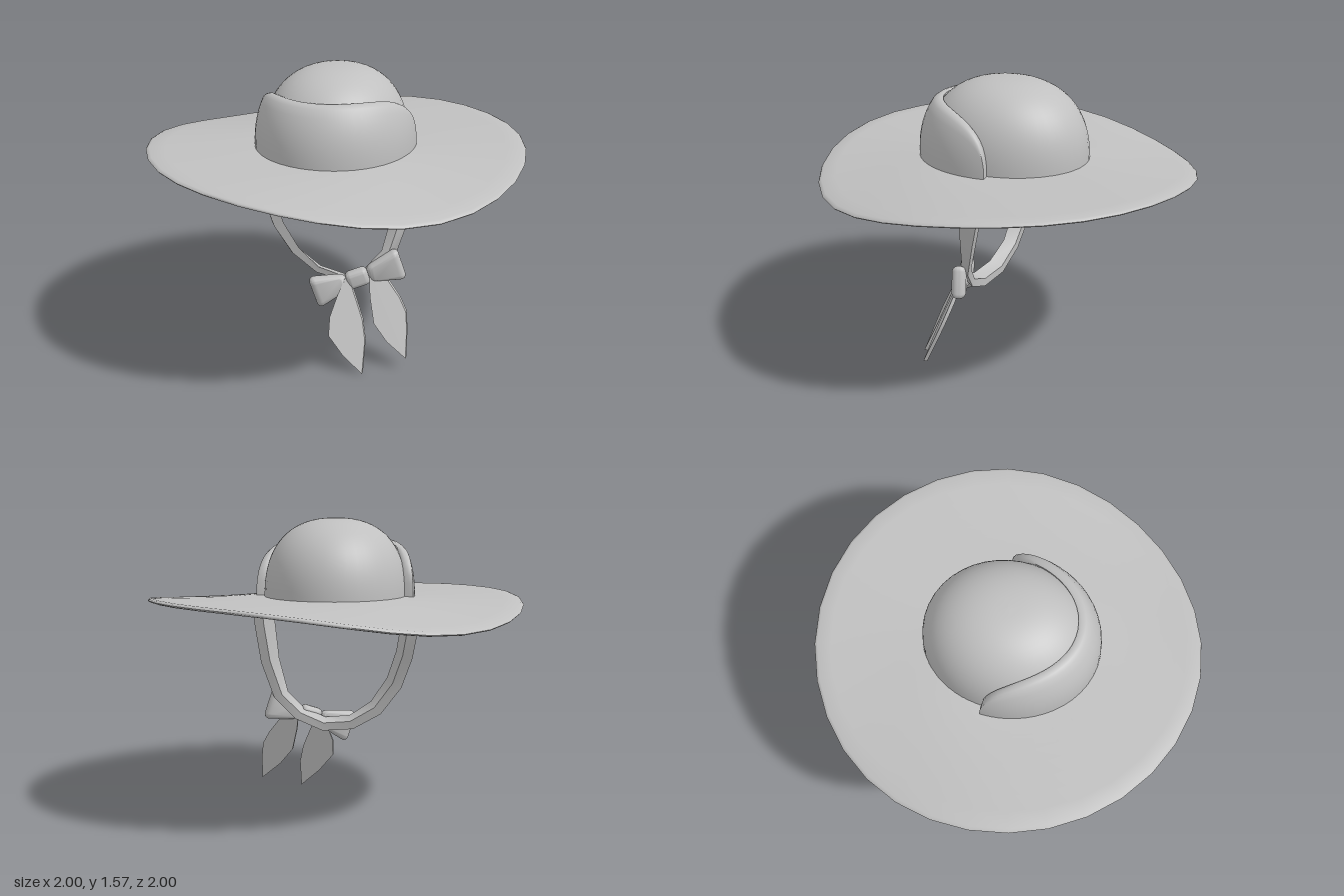
import * as THREE from 'three';
import { mergeVertices, toCreasedNormals } from 'three/addons/utils/BufferGeometryUtils.js';
import { RoundedBoxGeometry } from 'three/addons/geometries/RoundedBoxGeometry.js';

const BASE = 1.15; // height where crown meets brim
const grey = new THREE.MeshStandardMaterial({ color: 0xc0c0c0, side: THREE.DoubleSide });
grey.name = 'grey felt';

// Moves every vertex by a rule
function warp(geo, rule) {
  const p = geo.attributes.position;
  const v = new THREE.Vector3();
  for (let i = 0; i < p.count; i++) {
    rule(v.fromBufferAttribute(p, i));
    p.setXYZ(i, v.x, v.y, v.z);
  }
  return geo;
}

// Welds vertices and rebuilds smooth normals with sharp creases
function smooth(geo, angle) {
  geo.deleteAttribute('normal');
  geo.deleteAttribute('uv');
  return toCreasedNormals(mergeVertices(geo, 1e-4), angle);
}

// Skins a list of cross-sections, each with the same number of points
function loft(rows, closed) {
  const n = rows[0].length;
  const index = [];
  for (let i = 0; i < rows.length - 1; i++) {
    for (let j = 0; j < (closed ? n : n - 1); j++) {
      const k = (j + 1) % n;
      const a = i * n + j, b = i * n + k, c = a + n, d = b + n;
      index.push(a, c, b, b, c, d);
    }
  }
  const geo = new THREE.BufferGeometry();
  geo.setAttribute('position', new THREE.Float32BufferAttribute(rows.flat(2), 3));
  geo.setIndex(index);
  return geo;
}

// Rounded dome profile: relative radius at height y for a dome of height h
function domeRadius(y, h) {
  const t = THREE.MathUtils.clamp((y - BASE) / h, 0, 1);
  return Math.pow(1 - Math.pow(t, 2.4), 1 / 2.4);
}

function crownGeometry() {
  const pts = [];
  for (let i = 0; i <= 20; i++) {
    const y = BASE + 0.425 * Math.sin((i / 20) * Math.PI / 2);
    pts.push(new THREE.Vector2(domeRadius(y, 0.425), y));
  }
  return new THREE.LatheGeometry(pts, 40).scale(0.38, 1, 0.44);
}

function brimGeometry() {
  const pts = [];
  const steps = 8;
  for (let i = 0; i <= steps; i++) pts.push([0.44 + 0.545 * i / steps, -0.011]);
  pts.push([0.996, -0.006], [1, 0], [0.996, 0.006]);
  for (let i = steps; i >= 0; i--) pts.push([0.44 + 0.545 * i / steps, 0.011]);
  pts.push(pts[0]);
  const geo = new THREE.LatheGeometry(pts.map(([r, y]) => new THREE.Vector2(r, y)), 32);
  // Saddle-shaped wave growing towards the rim, oval hole in the middle
  warp(geo, (v) => {
    const a = Math.atan2(v.x, v.z);
    const f = THREE.MathUtils.clamp((Math.hypot(v.x, v.z) - 0.44) / 0.56, 0, 1);
    const rim = 1.113 - 0.058 * Math.sin(2 * a) + 0.011 * Math.cos(4 * a);
    v.y += THREE.MathUtils.lerp(1.152, rim, Math.pow(f, 1.2));
    v.x *= THREE.MathUtils.lerp(0.38 / 0.44, 1, f);
  });
  return smooth(geo, 1.2);
}

// Raised front band hugging the crown, its top edge dropping at both ends
function bandGeometry() {
  const rows = [];
  const n = 40;
  for (let i = 0; i <= n; i++) {
    const u = Math.sin((i / n - 0.5) * Math.PI);
    const phi = THREE.MathUtils.degToRad(97.5) * u;
    const top = BASE + 0.313 * Math.pow(Math.max(0, 1 - u ** 4), 1 / 3.3);
    const at = (y, s) => {
      const o = domeRadius(y, 0.46), d = domeRadius(y, 0.425);
      const rx = THREE.MathUtils.lerp(0.375 * d, 0.425 * o, s);
      const rz = THREE.MathUtils.lerp(0.435 * d, 0.48 * o, s);
      return [rx * Math.sin(phi), y, rz * Math.cos(phi)];
    };
    const row = [];
    for (let j = 0; j <= 8; j++) row.push(at(THREE.MathUtils.lerp(1.14, top - 0.015, j / 8), 1));
    row.push(at(top - 0.003, 0.85), at(top + 0.003, 0.55), at(top - 0.003, 0.2), at(top - 0.02, 0));
    rows.push(row);
  }
  return smooth(loft(rows, false), 1.0);
}

// Chin strap: inner front edge x, y, front z, back z, thickness
function strapGeometry() {
  const path = [
    [-0.35, 1.145, 0.1, -0.07, 0.075], [-0.345, 1.0, 0.1, -0.05, 0.07],
    [-0.32, 0.85, 0.1, -0.01, 0.065], [-0.27, 0.7, 0.1, 0.03, 0.06],
    [-0.18, 0.565, 0.11, 0.05, 0.05], [-0.06, 0.48, 0.14, 0.07, 0.035],
    [0.08, 0.46, 0.17, 0.1, 0.03], [0.2, 0.51, 0.16, 0.1, 0.03],
    [0.285, 0.61, 0.12, 0.07, 0.04], [0.33, 0.8, 0.1, 0.01, 0.05],
    [0.352, 1.0, 0.1, -0.04, 0.05], [0.36, 1.145, 0.1, -0.07, 0.05],
  ];
  const rows = path.map(([x, y, zf, zb, t], i) => {
    const p = path[Math.max(0, i - 1)], q = path[Math.min(path.length - 1, i + 1)];
    const len = Math.hypot(q[0] - p[0], q[1] - p[1]);
    const nx = (q[1] - p[1]) / len, ny = -(q[0] - p[0]) / len;
    const end = i === 0 || i === path.length - 1;
    const pt = (d, z) => [x + nx * d, end ? y : y + ny * d, z];
    return [pt(0, zf), pt(t * 0.7, zb), pt(t + 0.035, zb), pt(t, zf)];
  });
  return smooth(loft(rows, true), 0.6);
}

// Bow loop: soft block, narrow at the knot and tall at the outer end
function bowLoopGeometry() {
  const geo = new RoundedBoxGeometry(0.19, 0.19, 0.08, 4, 0.035);
  warp(geo, (v) => {
    const f = v.x / 0.19 + 0.5;
    v.y *= THREE.MathUtils.lerp(0.45, 1, f);
    v.z *= THREE.MathUtils.lerp(0.75, 1, f);
  });
  return smooth(geo, 1.0);
}

// Ribbon tail: thin leaf swept forward as it falls
function tailGeometry(outline) {
  const shape = new THREE.Shape(outline.map(([x, y]) => new THREE.Vector2(x, y)));
  const geo = new THREE.ExtrudeGeometry(shape, { depth: 0.022, bevelEnabled: false });
  warp(geo, (v) => { v.z += 0.185 - 0.38 * (v.x - 0.17) + 0.48 * (0.48 - v.y); });
  return smooth(geo, 0.6);
}

export function createModel() {
  const model = new THREE.Group();
  model.name = 'sunHat';
  const add = (name, geo, parent = model) => {
    const mesh = new THREE.Mesh(geo, grey);
    mesh.name = name;
    parent.add(mesh);
    return mesh;
  };

  add('crown', crownGeometry());
  add('brim', brimGeometry());
  add('frontBand', bandGeometry());
  add('chinStrap', strapGeometry());

  // Bow, tilted and turned to one side
  const bow = new THREE.Group();
  bow.name = 'bow';
  bow.position.set(0.172, 0.468, 0.19);
  bow.rotation.set(0, 0.363, 0.32, 'YXZ');
  model.add(bow);
  add('knot', smooth(new RoundedBoxGeometry(0.12, 0.095, 0.075, 3, 0.025), 1.0), bow);
  add('leftLoop', bowLoopGeometry(), bow).position.x = 0.155;
  const rightLoop = add('rightLoop', bowLoopGeometry(), bow);
  rightLoop.position.x = -0.155;
  rightLoop.rotation.z = Math.PI;

  // Hanging ribbon tails
  add('rightTail', tailGeometry([[0.12, 0.49], [0.085, 0.39], [0.06, 0.29], [0.065, 0.2],
    [0.15, 0.1], [0.255, 0.01], [0.25, 0.17], [0.225, 0.27], [0.185, 0.36], [0.14, 0.46]]));
  add('leftTail', tailGeometry([[0.23, 0.51], [0.25, 0.38], [0.285, 0.25], [0.36, 0.16],
    [0.465, 0.075], [0.455, 0.21], [0.44, 0.3], [0.4, 0.37], [0.32, 0.47]]));
  return model;
}
